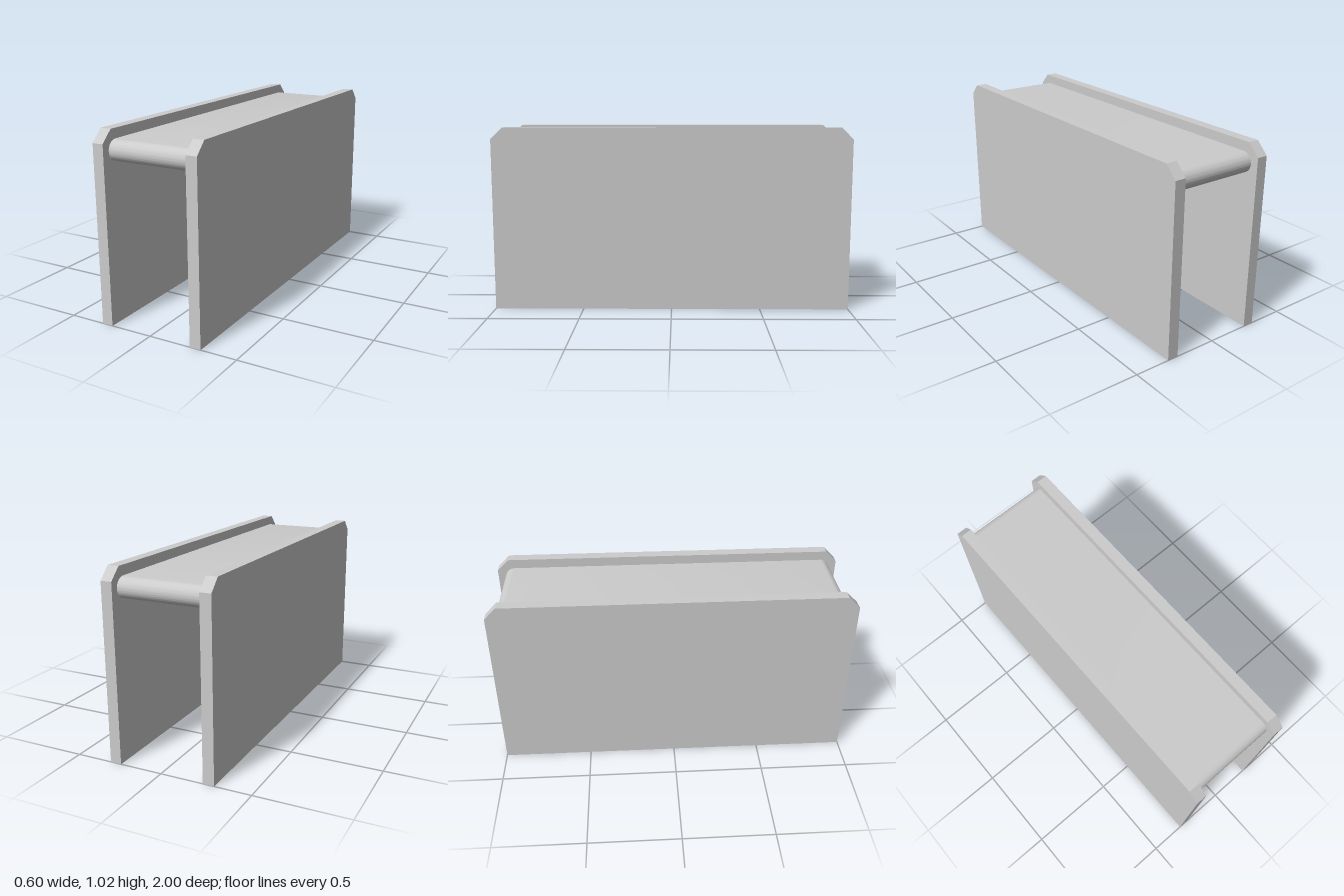
import * as THREE from 'three';
import { toCreasedNormals } from 'three/addons/utils/BufferGeometryUtils.js';

const material = new THREE.MeshStandardMaterial({ color: 0xcccccc });

// Extrude a side profile (z, y) across x, centred on the given x
function extrudeAcross(shape, width, x, name) {
  const geometry = new THREE.ExtrudeGeometry(shape, { depth: width, bevelEnabled: false, curveSegments: 24 });
  geometry.translate(0, 0, -width / 2);
  geometry.rotateY(-Math.PI / 2);
  const mesh = new THREE.Mesh(toCreasedNormals(geometry, Math.PI / 6), material);
  mesh.position.x = x;
  mesh.name = name;
  return mesh;
}

export function createModel() {
  const group = new THREE.Group();
  group.name = 'bench';

  // Side panels with chamfered top corners
  const height = 1.025, cut = 0.065;
  const panel = new THREE.Shape([
    [-1, 0], [1, 0], [1, height - cut], [1 - cut, height], [-1 + cut, height], [-1, height - cut],
  ].map(([z, y]) => new THREE.Vector2(z, y)));
  for (const side of [-1, 1]) {
    group.add(extrudeAcross(panel, 0.062, side * 0.269, side > 0 ? 'leftPanel' : 'rightPanel'));
  }

  // Seat board with fully rounded front and back edges
  const radius = 0.056, seatY = 0.916, reach = 0.957 - radius;
  const seat = new THREE.Shape();
  seat.absarc(reach, seatY, radius, -Math.PI / 2, Math.PI / 2);
  seat.absarc(-reach, seatY, radius, Math.PI / 2, Math.PI * 1.5);
  group.add(extrudeAcross(seat, 0.476, 0, 'seat'));

  return group;
}
